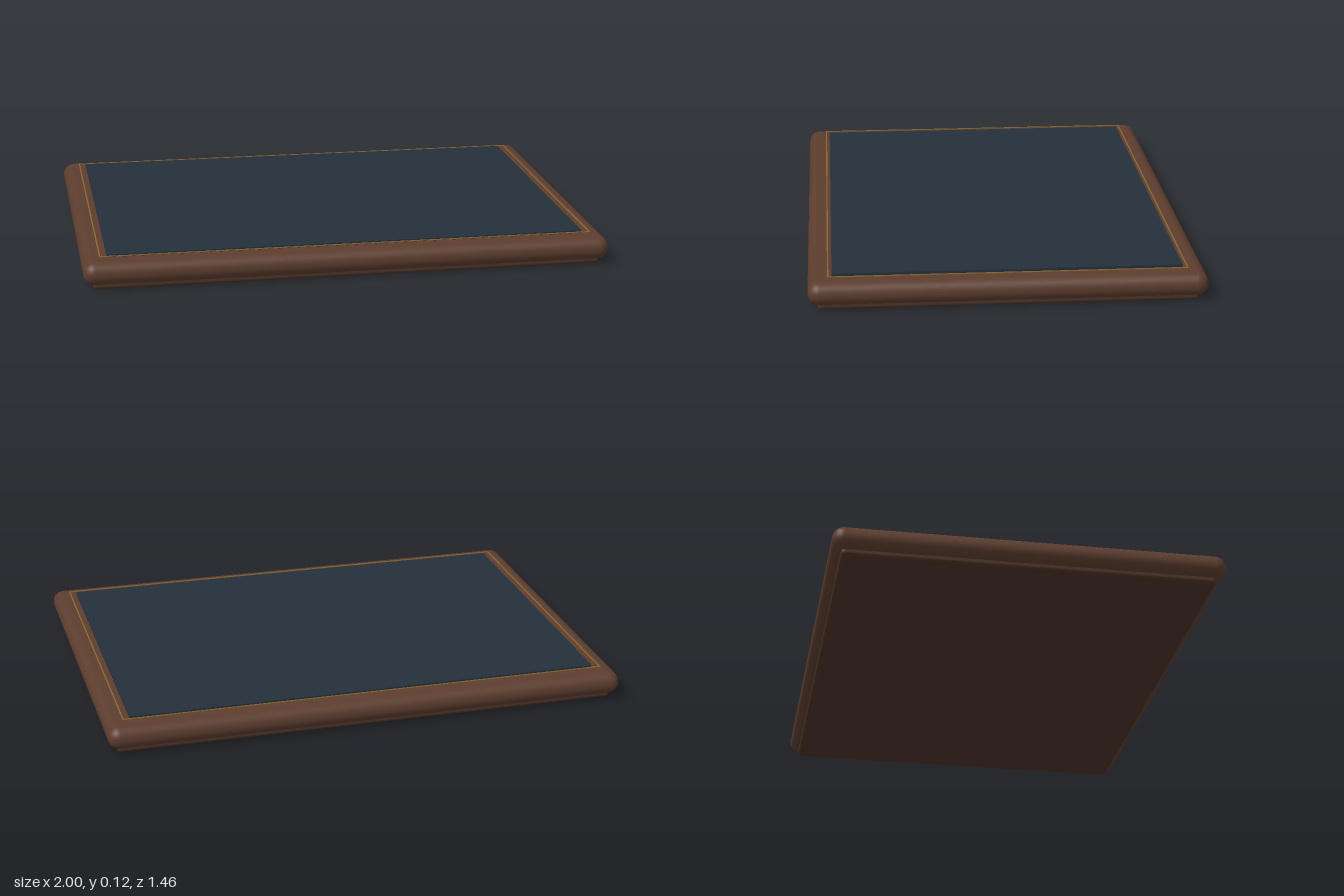
import * as THREE from 'three';
import { RoundedBoxGeometry } from 'three/addons/geometries/RoundedBoxGeometry.js';

function material(name, color) {
  const m = new THREE.MeshStandardMaterial({ color });
  m.name = name;
  return m;
}

export function createModel() {
  const group = new THREE.Group();
  group.name = 'framedPanel';

  const wood = material('brown wood', 0x5c3d2e);
  const darkWood = material('dark brown wood', 0x4c3327);
  const slate = material('dark slate', 0x25303a);
  const gold = material('dull gold', 0x8a6632);

  function add(name, geometry, mat, x, y, z) {
    const mesh = new THREE.Mesh(geometry, mat);
    mesh.name = name;
    mesh.position.set(x, y, z);
    group.add(mesh);
  }

  // Rounded slab forming the frame
  add('frame', new RoundedBoxGeometry(2, 0.088, 1.46, 8, 0.043), wood, 0, 0.064, 0);

  // Smaller backing tucked under the frame
  add('backing', new RoundedBoxGeometry(1.93, 0.04, 1.39, 4, 0.012), darkWood, 0, 0.02, 0);

  // Raised panel
  add('panel', new THREE.BoxGeometry(1.816, 0.02, 1.284), slate, 0, 0.108, 0);

  // Thin inlay lines around the panel
  const w = 0.005, h = 0.003, y = 0.1155, x = 0.935, z = 0.656;
  for (const s of [-1, 1]) {
    add('inlaySide', new THREE.BoxGeometry(w, h, 2 * z - w), gold, s * x, y, 0);
    add('inlayEnd', new THREE.BoxGeometry(2 * x + w, h, w), gold, 0, y, s * z);
  }

  return group;
}
